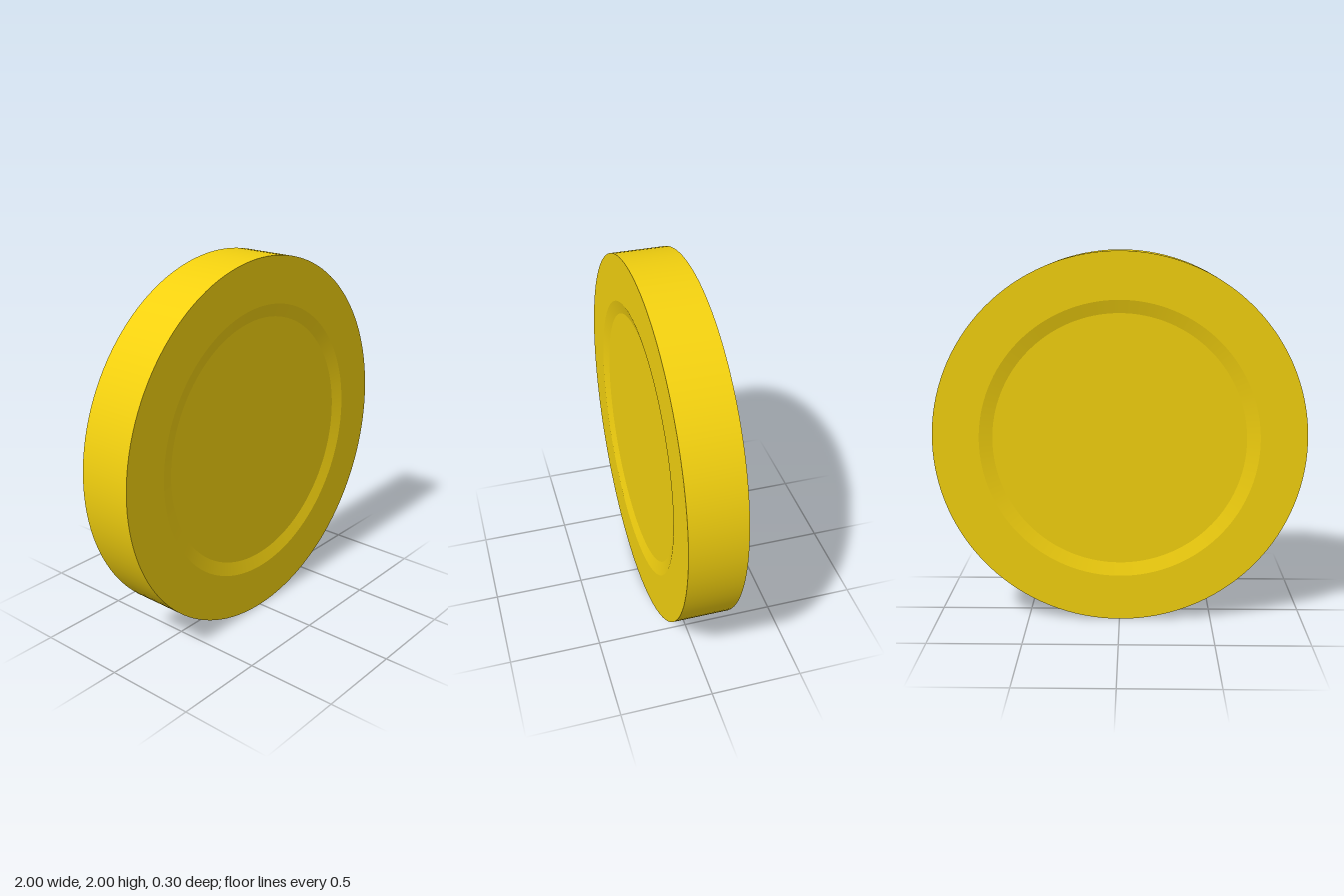
import * as THREE from 'three';

export function createModel() {
  const group = new THREE.Group();
  group.name = 'coin';
  const gold = new THREE.MeshStandardMaterial({ color: 0xf2d00f });

  // Half profile [radius, depth] from the back centre round to the front centre
  const half = 0.15, floor = 0.13;
  const profile = [
    [0, -floor], [0.68, -floor], [0.75, -half], [1, -half],
    [1, half], [0.75, half], [0.68, floor], [0, floor],
  ].map(([r, d]) => new THREE.Vector2(r, d));
  const names = ['backFloor', 'backBevel', 'backBorder', 'edge', 'frontBorder', 'frontBevel', 'frontFloor'];

  // One lathe per band keeps the creases sharp and the bands smooth
  names.forEach((name, i) => {
    const band = new THREE.LatheGeometry([profile[i], profile[i + 1]], 128);
    band.rotateX(Math.PI / 2); // stand upright, facing +z
    band.translate(0, 1, 0);
    const mesh = new THREE.Mesh(band, gold);
    mesh.name = name;
    group.add(mesh);
  });

  return group;
}
